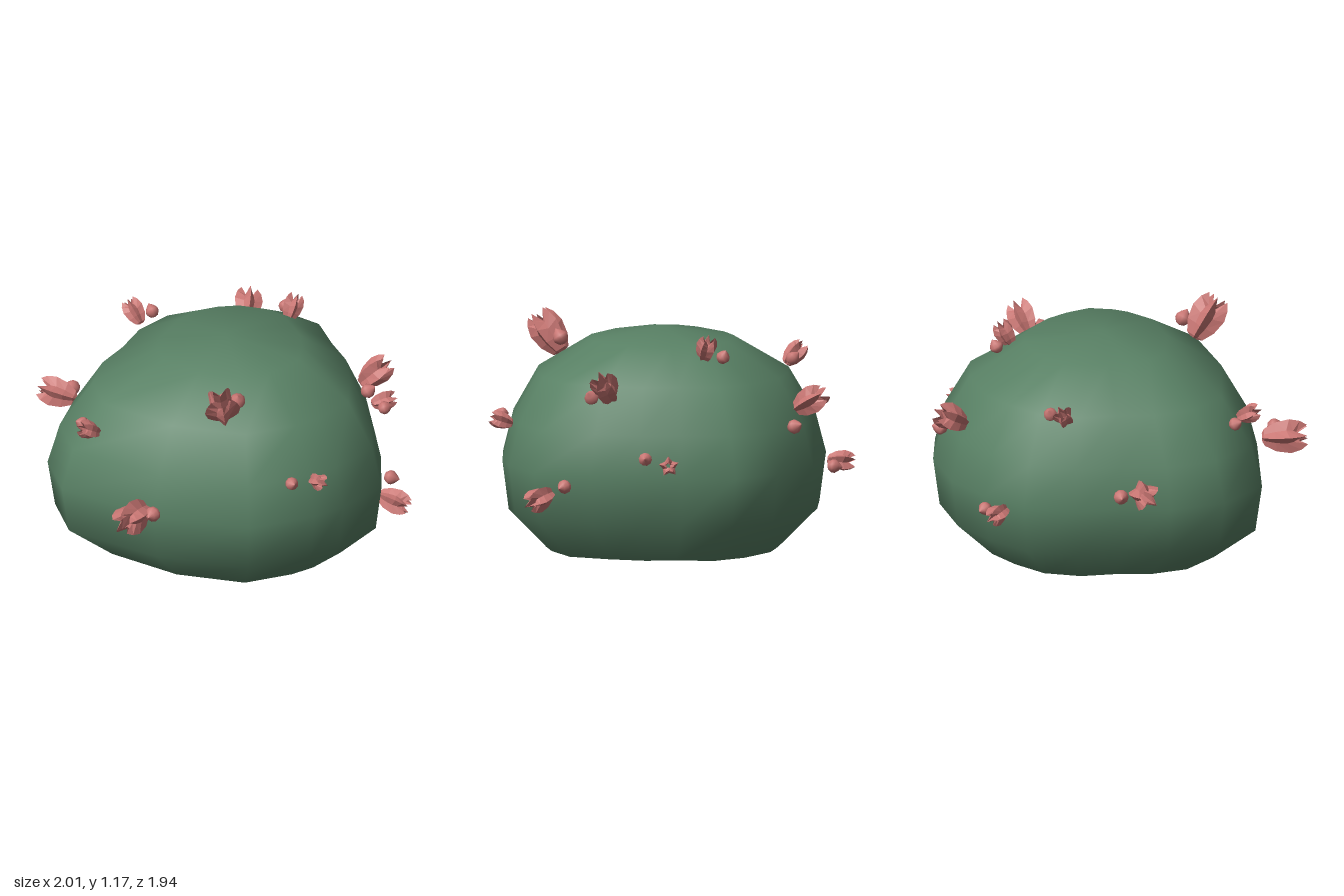
import * as THREE from 'three';

const green = new THREE.MeshStandardMaterial({ color: 0x588064, side: THREE.DoubleSide });
green.name = 'leaf green';
const pink = new THREE.MeshStandardMaterial({ color: 0xc87673, side: THREE.DoubleSide });
pink.name = 'petal pink';

// Skin a stack of closed rings; an apex point, if given, closes the top.
function loft(rings, apex) {
  const n = rings[0].length;
  const index = [];
  for (let i = 0; i < rings.length - 1; i++) {
    for (let j = 0; j < n; j++) {
      const a = i * n + j, b = i * n + (j + 1) % n;
      index.push(a, a + n, b, b, a + n, b + n);
    }
  }
  const points = rings.flat();
  if (apex) {
    const base = (rings.length - 1) * n;
    for (let j = 0; j < n; j++) index.push(base + j, points.length, base + (j + 1) % n);
    points.push(apex);
  }
  const geometry = new THREE.BufferGeometry();
  geometry.setAttribute('position', new THREE.Float32BufferAttribute(points.flat(), 3));
  geometry.setIndex(index);
  geometry.computeVertexNormals();
  return geometry;
}

// Lumpy outline at the widest height, as x, z
const outline = [
  [0, -0.93], [0.25, -0.89], [0.43, -0.69], [0.6, -0.55], [0.74, -0.34], [0.88, -0.07],
  [0.8, 0.2], [0.71, 0.35], [0.47, 0.605], [-0.01, 0.715], [-0.55, 0.675], [-0.74, 0.46],
  [-0.79, 0.185], [-0.75, -0.05], [-0.76, -0.3], [-0.68, -0.55], [-0.5, -0.73], [-0.3, -0.87],
];

// Height, scale of the outline, rounding towards a circle
const levels = [
  [0, 0.72, 0.1], [0.2, 0.96, 0], [0.45, 1, 0], [0.66, 0.935, 0],
  [0.89, 0.775, 0.15], [1.06, 0.44, 0.4],
];

function bodyGeometry() {
  const cx = 0.035, cz = -0.1;
  const rings = levels.map(([y, scale, round]) => outline.map(([x, z]) => {
    const dx = x - cx, dz = z - cz;
    const r = Math.hypot(dx, dz);
    const k = scale * THREE.MathUtils.lerp(r, 0.83, round) / r;
    return [cx + dx * k, y, cz + dz * k];
  }));
  return loft(rings, [0, 1.11, -0.07]);
}

// Pleated five-petal cup of unit length, centred on its middle, opening along +y
function flowerGeometry() {
  const profile = [[0, 0.1], [0.05, 0.2], [0.3, 0.34], [0.62, 0.4], [0.85, 0.34], [1, 0.23]];
  const rings = profile.map(([h, r], i) => Array.from({ length: 10 }, (_, j) => {
    const valley = j % 2 === 1;
    const a = j * Math.PI / 5;
    const radius = r * (valley ? 0.62 : 1);
    const y = h - 0.5 - (valley && i > 2 ? 0.08 * (i - 2) : 0);
    return [Math.sin(a) * radius, y, -Math.cos(a) * radius];
  }));
  const geometry = loft(rings).toNonIndexed();
  geometry.computeVertexNormals();
  return geometry;
}

// Round bud with a pointed tip
function budGeometry() {
  const profile = [[0, -0.95], [0.55, -0.8], [0.95, -0.25], [0.95, 0.2], [0.6, 0.7], [0, 1.25]];
  return new THREE.LatheGeometry(profile.map(([x, y]) => new THREE.Vector2(x, y)), 10);
}

// Flower centre, flower length, bud centre
const blossoms = [
  [[0.26, 1.04, 0.49], 0.24, [0.29, 1.03, 0.375]],
  [[-0.9, 0.59, 0.03], 0.2, [-0.87, 0.57, -0.08]],
  [[-0.06, 0.51, 0.85], 0.23, [0.03, 0.525, 0.81]],
  [[0.91, 0.335, -0.15], 0.17, [0.84, 0.4, -0.255]],
  [[0.725, 0.655, 0.34], 0.12, [0.63, 0.668, 0.44]],
  [[0.68, 0.9, -0.39], 0.19, [0.69, 0.845, -0.295]],
  [[-0.655, 0.93, -0.345], 0.14, [-0.585, 0.92, -0.405]],
  [[-0.425, 0.8, 0.62], 0.13, [-0.5, 0.78, 0.545]],
  [[0.135, 1.06, -0.545], 0.14, [0.07, 1.02, -0.6]],
  [[-0.28, 0.79, -0.87], 0.19, [-0.135, 0.68, -0.91]],
  [[0.56, 0.53, -0.73], 0.13, [0.62, 0.56, -0.62]],
  [[-0.665, 0.42, -0.68], 0.14, [-0.565, 0.41, -0.735]],
];

// Turn a part so its +y points away from the rounded body
function faceOutward(mesh, [x, y, z]) {
  const out = new THREE.Vector3(x - 0.03, (y - 0.47) * 1.5, z + 0.1).normalize();
  mesh.quaternion.setFromUnitVectors(new THREE.Vector3(0, 1, 0), out);
  mesh.position.set(x, y, z);
}

export function createModel() {
  const model = new THREE.Group();
  model.name = 'floweringMound';

  const body = new THREE.Mesh(bodyGeometry(), green);
  body.name = 'body';
  model.add(body);

  const petals = flowerGeometry(), budShape = budGeometry();
  for (const [centre, length, budCentre] of blossoms) {
    const blossom = new THREE.Group();
    blossom.name = 'blossom';
    const flower = new THREE.Mesh(petals, pink);
    flower.name = 'flower';
    flower.scale.setScalar(length);
    faceOutward(flower, centre);
    const bud = new THREE.Mesh(budShape, pink);
    bud.name = 'bud';
    bud.scale.setScalar(0.027 + length * 0.06);
    faceOutward(bud, budCentre);
    blossom.add(flower, bud);
    model.add(blossom);
  }
  return model;
}
